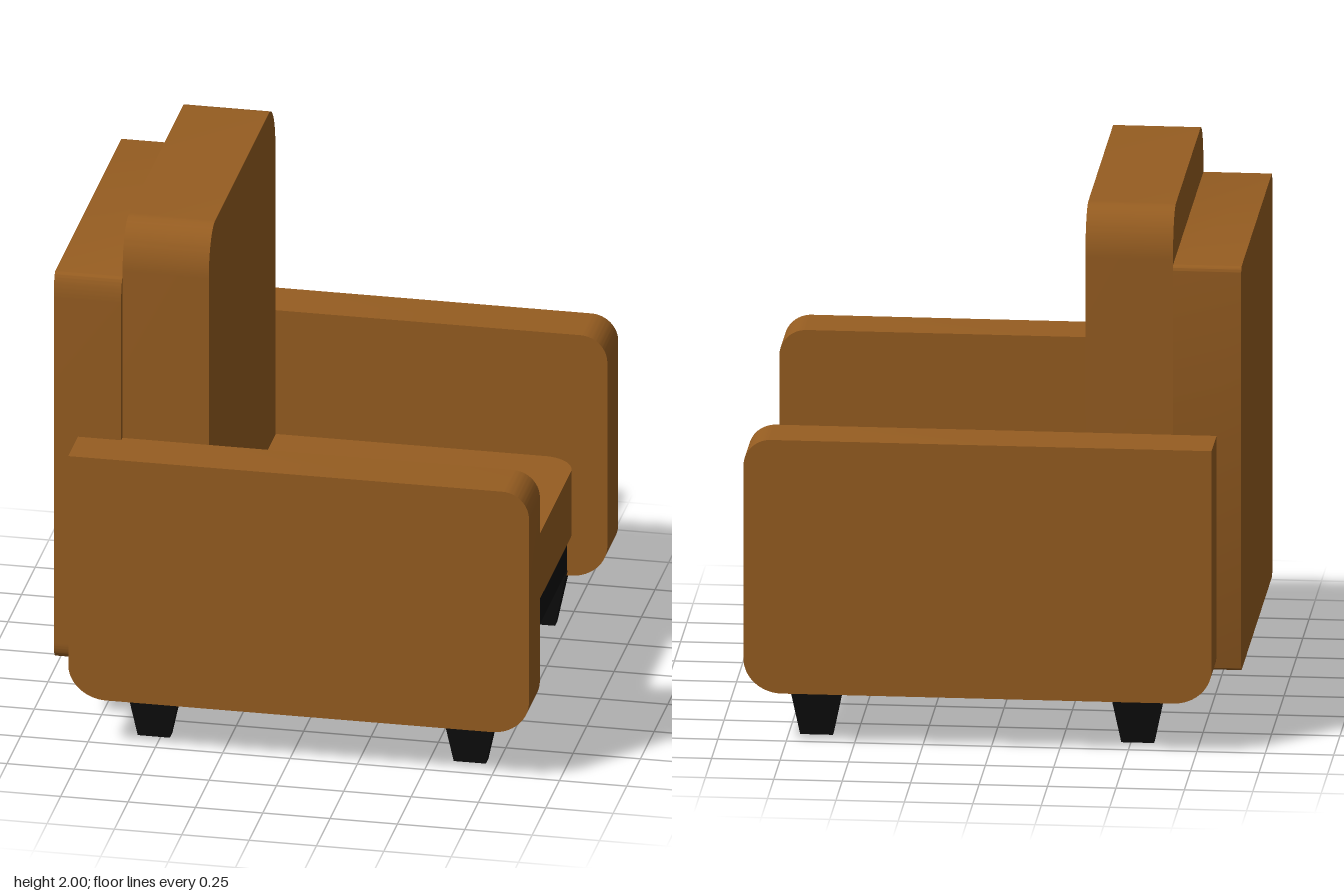
import * as THREE from 'three';
import { toCreasedNormals } from 'three/addons/utils/BufferGeometryUtils.js';

// Rectangle with its own elliptical radius [rx, ry] at each corner
function panelShape(u0, u1, v0, v1, { bl = [0, 0], br = [0, 0], tr = [0, 0], tl = [0, 0] }) {
  const s = new THREE.Shape();
  const corner = (cx, cy, [rx, ry], start) => {
    if (rx > 0) s.absellipse(cx, cy, rx, ry, start, start + Math.PI / 2, false, 0);
  };
  s.moveTo(u0 + bl[0], v0);
  s.lineTo(u1 - br[0], v0);
  corner(u1 - br[0], v0 + br[1], br, -Math.PI / 2);
  s.lineTo(u1, v1 - tr[1]);
  corner(u1 - tr[0], v1 - tr[1], tr, 0);
  s.lineTo(u0 + tl[0], v1);
  corner(u0 + tl[0], v1 - tl[1], tl, Math.PI / 2);
  s.lineTo(u0, v0 + bl[1]);
  corner(u0 + bl[0], v0 + bl[1], bl, Math.PI);
  return s;
}

function slab(shape, depth) {
  const g = new THREE.ExtrudeGeometry(shape, { depth, bevelEnabled: false, curveSegments: 12 });
  return toCreasedNormals(g, 0.6);
}

export function createModel() {
  const chair = new THREE.Group();
  chair.name = 'armchair';
  const leather = new THREE.MeshStandardMaterial({ color: 0x965d21 });
  leather.name = 'brown leather';
  const black = new THREE.MeshStandardMaterial({ color: 0x0d0d0d });
  black.name = 'black wood';

  const add = (name, geometry, material) => {
    const mesh = new THREE.Mesh(geometry, material);
    mesh.name = name;
    chair.add(mesh);
    return mesh;
  };

  // Arms: side panels, square only at the upper rear corner
  const arm = panelShape(-0.81, 0.9, 0.2, 1.16, { bl: [0.14, 0.13], br: [0.14, 0.13], tr: [0.1, 0.1] });
  add('leftArm', slab(arm, 0.2).translate(0, 0, 0.615), leather);
  add('rightArm', slab(arm, 0.2).translate(0, 0, -0.82), leather);

  // Back cushion and rear panel: drawn across the width, extruded forwards
  const cushion = panelShape(-0.61, 0.61, 0.6, 2, { tr: [0.12, 0.18], tl: [0.12, 0.18] });
  add('backCushion', slab(cushion, 0.32).rotateY(Math.PI / 2).translate(-0.65, 0, 0), leather);
  const rear = panelShape(-0.637, 0.617, 0.27, 1.8, {
    bl: [0.03, 0.06], tl: [0.03, 0.1], br: [0.015, 0.02], tr: [0.02, 0.02],
  });
  add('rearPanel', slab(rear, 0.25).rotateY(Math.PI / 2).translate(-0.9, 0, 0), leather);

  // Seat: drawn from above, one front corner rounded
  const seat = panelShape(-0.65, 0.79, -0.615, 0.615, { tr: [0.12, 0.12] });
  add('seat', slab(seat, 0.26).rotateX(-Math.PI / 2).translate(0, 0.41, 0), leather);

  // Base frame under the seat
  add('baseFrame', new THREE.BoxGeometry(1.4, 0.19, 1.24).translate(0.05, 0.315, 0), black);

  // Legs: boxes tapering towards the floor
  const leg = new THREE.BoxGeometry(0.21, 0.22, 0.08);
  const p = leg.attributes.position;
  for (let i = 0; i < p.count; i++) {
    if (p.getY(i) < 0) p.setXYZ(i, p.getX(i) * 0.57, p.getY(i), p.getZ(i) * 0.55);
  }
  leg.computeVertexNormals();
  for (const x of [-0.525, 0.648]) {
    for (const z of [-0.632, 0.632]) {
      const name = (x > 0 ? 'front' : 'rear') + (z > 0 ? 'Left' : 'Right') + 'Leg';
      add(name, leg, black).position.set(x, 0.11, z);
    }
  }
  return chair;
}
